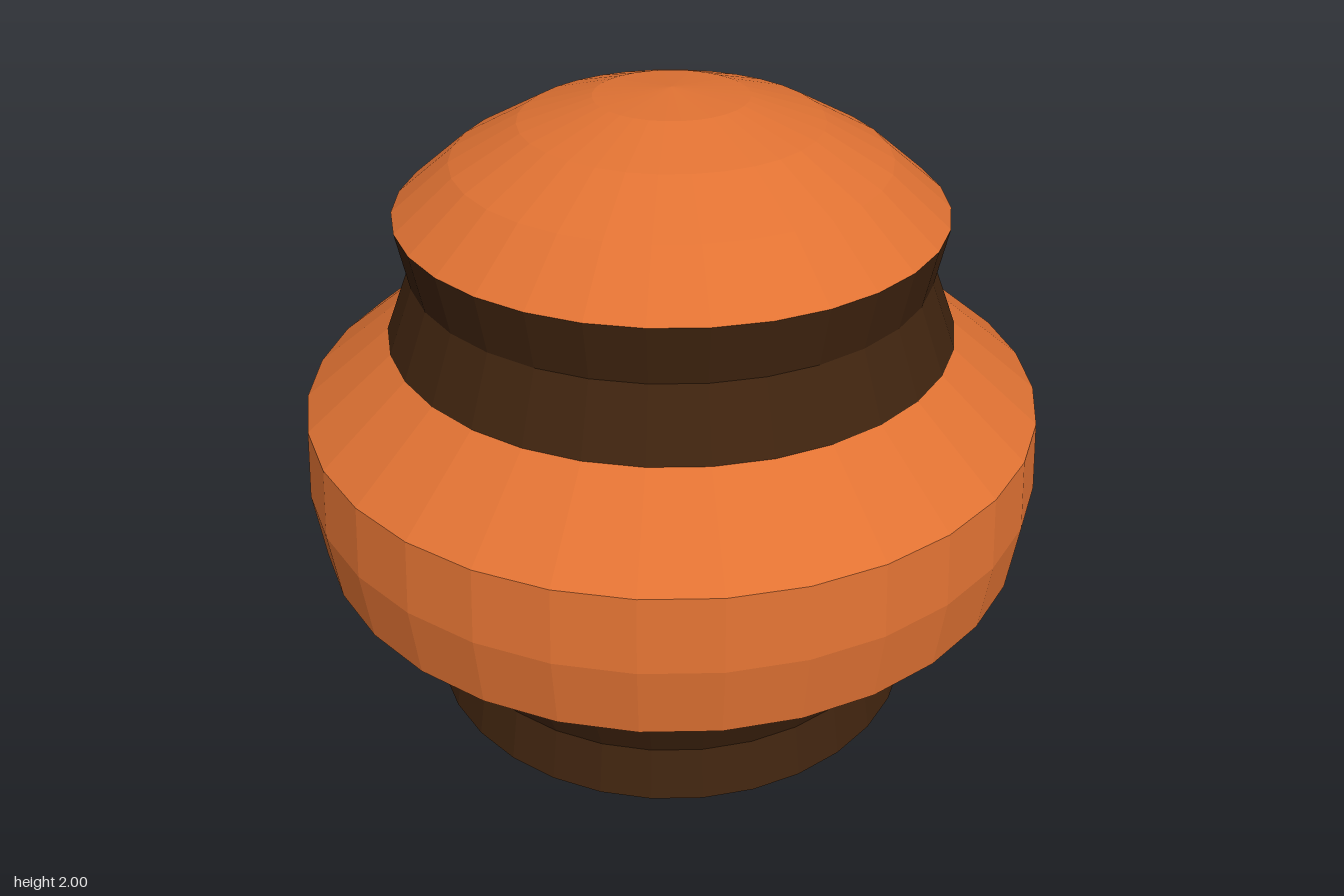
import * as THREE from 'three';

const SEGMENTS = 32;
const RINGS = 16;

// Radii of the pinched rings, counted from either pole; all others lie on a unit sphere.
const PINCHED = { 5: 0.68, 6: 0.75 };

function ringPoint(i) {
  const angle = (i / RINGS) * Math.PI;
  const radius = PINCHED[Math.min(i, RINGS - i)] ?? Math.sin(angle);
  return new THREE.Vector2(i % RINGS === 0 ? 0 : radius, 1 - Math.cos(angle));
}

export function createModel() {
  const orange = new THREE.MeshStandardMaterial({ color: 0xe07233, flatShading: true });
  orange.name = 'orange';
  const darkBrown = new THREE.MeshStandardMaterial({ color: 0x40240f, flatShading: true });
  darkBrown.name = 'darkBrown';

  const group = new THREE.Group();
  group.name = 'bandedBall';

  // Each part spans a run of rings, from the bottom pole up.
  const parts = [
    ['bottomCap', 0, 4, orange],
    ['lowerGroove', 4, 6, darkBrown],
    ['middleBelt', 6, 10, orange],
    ['upperGroove', 10, 12, darkBrown],
    ['topCap', 12, 16, orange],
  ];
  for (const [name, from, to, material] of parts) {
    const profile = [];
    for (let i = from; i <= to; i++) profile.push(ringPoint(i));
    const mesh = new THREE.Mesh(new THREE.LatheGeometry(profile, SEGMENTS), material);
    mesh.name = name;
    group.add(mesh);
  }
  return group;
}
